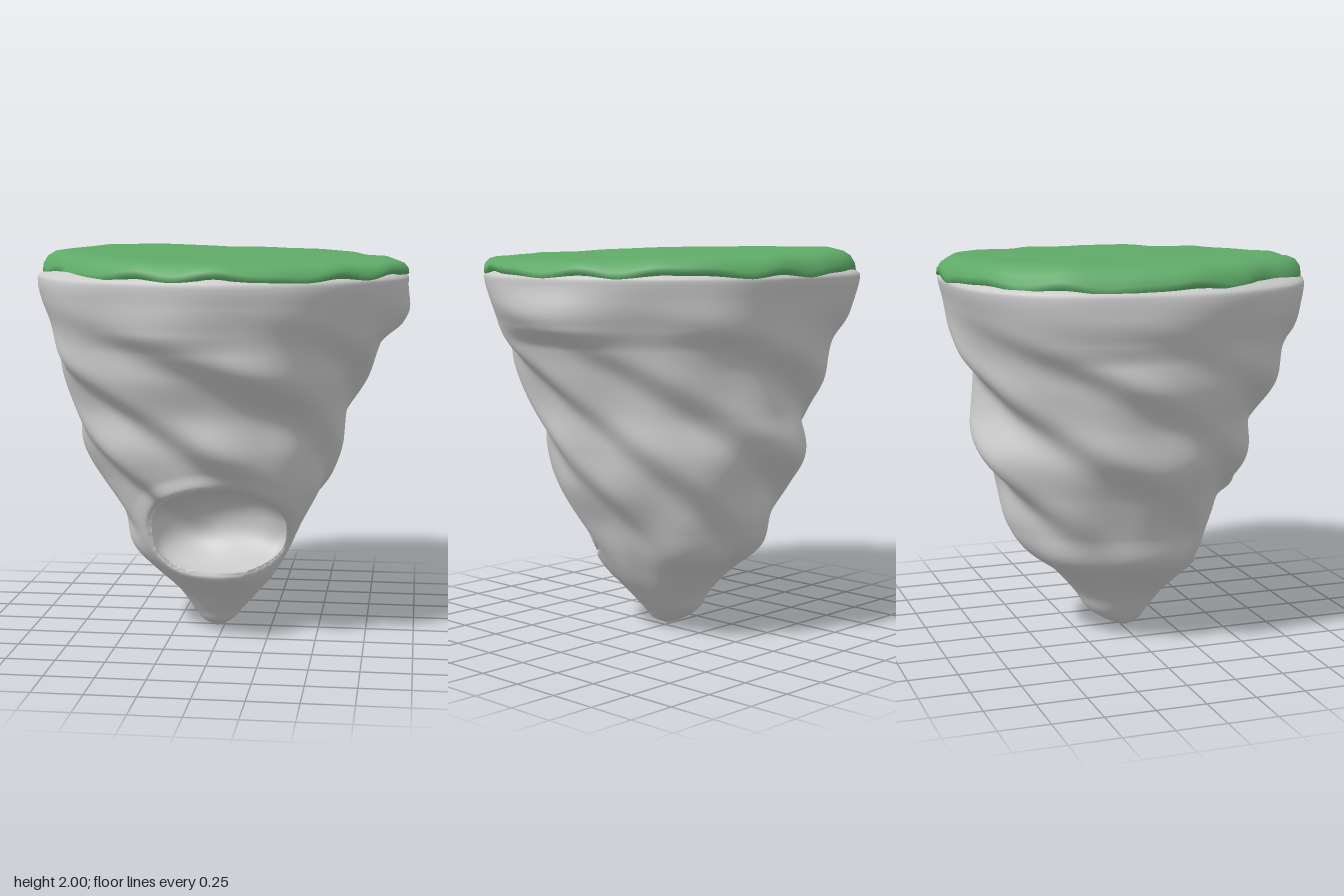
import * as THREE from 'three';
import { mergeVertices } from 'three/addons/utils/BufferGeometryUtils.js';

const { smoothstep, clamp, lerp } = THREE.MathUtils;
const TOP = 1.91;

// Radius of the rock by height: y, then front (+z), left (+x), back (-z), right (-x)
const PROFILE = [
  [0.00, 0.00, 0.00, 0.00, 0.00],
  [0.03, 0.06, 0.07, 0.08, 0.06],
  [0.10, 0.12, 0.13, 0.19, 0.13],
  [0.20, 0.22, 0.20, 0.25, 0.22],
  [0.32, 0.36, 0.28, 0.35, 0.35],
  [0.45, 0.41, 0.35, 0.51, 0.48],
  [0.60, 0.46, 0.42, 0.59, 0.52],
  [0.80, 0.54, 0.55, 0.65, 0.62],
  [1.00, 0.64, 0.61, 0.74, 0.74],
  [1.20, 0.68, 0.66, 0.74, 0.78],
  [1.40, 0.80, 0.75, 0.78, 0.86],
  [1.60, 0.86, 0.85, 0.85, 0.89],
  [1.75, 0.90, 0.92, 0.89, 0.94],
  [1.85, 0.92, 0.94, 0.92, 0.95],
  [1.91, 0.90, 0.93, 0.92, 0.93],
];
const sampler = new THREE.CubicInterpolant(
  PROFILE.map((p) => p[0]), PROFILE.flatMap((p) => p.slice(1)), 4, new Float32Array(4));

// Bulges as [angle, half width, size]: ledges under the rim, and the uneven rim itself
const LEDGES = [[1.65, 0.38, 0.06], [-0.25, 0.4, 0.025], [2.6, 0.35, 0.02], [-1.9, 0.3, 0.02]];
const RIM = [[-2.45, 0.4, 0.065], [-0.7, 0.35, 0.03], [0.42, 0.25, 0.025], [2.15, 0.35, -0.03]];

// Smooth bump around the circle, summed over a list
const bell = (a, centre, width) => Math.exp(-((2 * Math.sin((a - centre) / 2) / width) ** 2));
const bulge = (list, a) => list.reduce((sum, [centre, width, size]) => sum + size * bell(a, centre, width), 0);

// Rock radius at an angle (0 = front, +90 degrees = +x) with spiral ridges
function rockRadius(a, y) {
  const [front, left, back, right] = sampler.evaluate(clamp(y, 0, TOP));
  const s = Math.sin(a), c = Math.cos(a);
  let r = (s > 0 ? left : right) * s * s + (c > 0 ? front : back) * c * c;

  // spirals climb steeply near the tip and flatten towards the rim
  const dy = y - 1.35;
  const p = 6 * (a + Math.PI / 2 + 2.5 * dy + 0.35 * dy * dy) + 0.7 * Math.sin(2 * a + 2 * y);
  const fade = smoothstep(y, 0.2, 0.9) * (1 - smoothstep(y, 1.4, 1.75));
  r += Math.cos(p + 0.35 * Math.cos(p)) * (0.026 + 0.01 * Math.sin(a * 2 + 1)) * fade;

  // uneven rim, ledges and soft lumps
  r += bulge(RIM, a) * smoothstep(y, 1.2, 1.8);
  r += bulge(LEDGES, a) * smoothstep(y, 1.52, 1.62) * (1 - smoothstep(y, 1.66, 1.84));
  return r + smoothstep(y, 0.1, 0.5) * (0.007 * Math.sin(5 * a + 4 * y) + 0.004 * Math.sin(9 * a - 7 * y + 2));
}

// Smooth closed surface from rings of points; point(row, angle) returns a Vector3
function loft(rows, cols, point) {
  const positions = [], index = [];
  for (let i = 0; i <= rows; i++) {
    for (let j = 0; j <= cols; j++) {
      positions.push(...point(i, -Math.PI + (2 * Math.PI * j) / cols).toArray());
      if (i === rows || j === cols) continue;
      const a = i * (cols + 1) + j, d = a + cols + 1;
      index.push(a, a + 1, d + 1, a, d + 1, d);
    }
  }
  let geometry = new THREE.BufferGeometry();
  geometry.setAttribute('position', new THREE.Float32BufferAttribute(positions, 3));
  geometry.setIndex(index);
  geometry = mergeVertices(geometry, 1e-5);
  geometry.computeVertexNormals();
  return geometry;
}

// Cave in the front: an arched opening with a flat sill, hollowed behind a raised lip
function carve(p) {
  if (p.z < 0) return p;
  const cx = 0.01, cy = 0.6;
  const u = (p.x - cx) / 0.34, v = (p.y - cy) / 0.225;
  const power = v > 0 ? 2.1 : 2.9;
  const d = Math.pow(Math.abs(u) ** power + Math.abs(v) ** power, 1 / power);
  const onRim = Math.abs(d - 1) < 0.04;
  if (d < 1 || onRim) {
    // points close to the rim snap onto it, the rest spread over the hollow
    const spread = onRim ? 1 / d : Math.sin((d * Math.PI) / 2) / Math.max(d, 1e-4);
    p.x = cx + (p.x - cx) * spread;
    p.y = cy + (p.y - cy) * spread;
    if (!onRim) p.z -= 0.36 * Math.cos((d * Math.PI) / 2);
  } else {
    p.z += 0.015 * smoothstep(d, 1, 1.1) * (1 - smoothstep(d, 1.1, 1.4));
  }
  return p;
}

// Rock body, closed at the top beneath the grass
const SIDE_ROWS = 170;
function rockPoint(i, a) {
  const y = TOP * Math.min(i / SIDE_ROWS, 1);
  const r = i > SIDE_ROWS ? 0 : rockRadius(a, y) * (1 - 0.06 * smoothstep(y, 1.86, TOP));
  const tip = 1 - smoothstep(y, 0, 0.3);
  return carve(new THREE.Vector3(r * Math.sin(a) - 0.04 * tip, y, r * Math.cos(a) + 0.02 * tip));
}

// Grass cap: wavy hanging edge, sloping shoulder, slightly tilted top
const SHOULDER = [[0.985, -0.015], [1.006, 0], [1.002, 0.018], [0.98, 0.04], [0.94, 0.06], [0.88, 0.08]];
const INSETS = [[-0.95, 0.35, 0.055], [-2.45, 0.4, 0.025], [-1.6, 0.4, 0.012]];
const TOP_ROWS = 12;
function grassPoint(i, a) {
  const edge = 1.882 + 0.011 * Math.sin(11 * a) + 0.007 * Math.sin(17 * a + 1) + 0.008 * Math.sin(5 * a + 2);
  const rim = rockRadius(a, 1.885) - bulge(INSETS, a);
  const k = Math.min(i, SHOULDER.length - 1);
  const inward = Math.max(0, i - SHOULDER.length + 1) / TOP_ROWS;
  const r = rim * SHOULDER[k][0] * (1 - inward);
  const x = r * Math.sin(a), z = r * Math.cos(a);
  const topY = 1.968 - 0.03 * x - 0.012 * z + 0.004 * Math.sin(6 * x + 2) * Math.cos(5 * z);
  return new THREE.Vector3(x, lerp(edge + SHOULDER[k][1], topY, smoothstep(i, 1, 6)), z);
}

export function createModel() {
  const group = new THREE.Group();
  group.name = 'floatingIsland';
  const add = (name, geometry, color) => {
    const mesh = new THREE.Mesh(geometry, new THREE.MeshStandardMaterial({ color }));
    mesh.name = name;
    group.add(mesh);
  };
  add('rockBody', loft(SIDE_ROWS + 1, 260, rockPoint), 0xcccccc);
  add('grassTop', loft(SHOULDER.length - 1 + TOP_ROWS, 180, grassPoint), 0x5faa68);
  return group;
}
